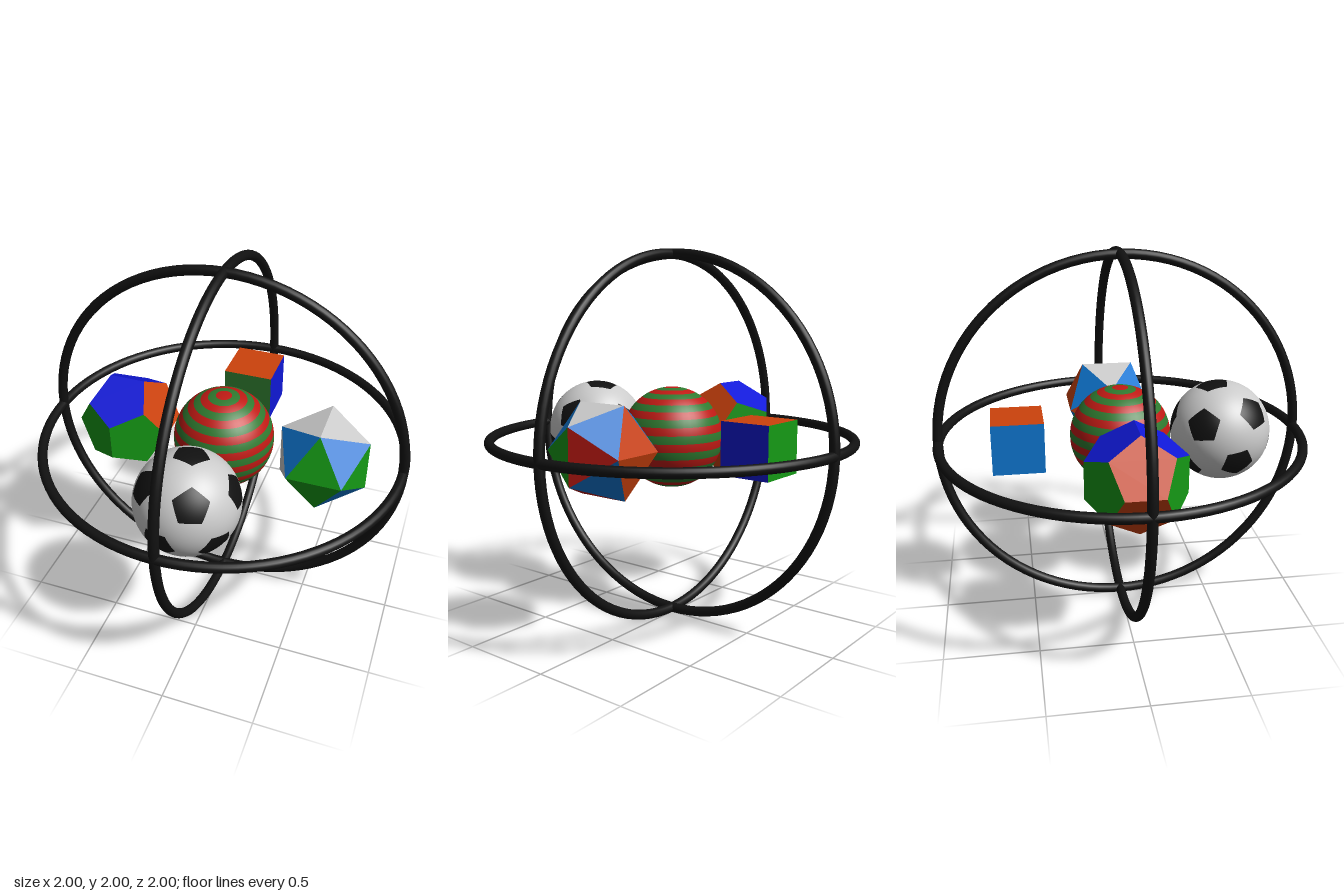
import * as THREE from 'three';
import { mergeGeometries } from 'three/addons/utils/BufferGeometryUtils.js';

const R = 0.273;      // radius shared by the ball, globe and solids
const ORBIT = 0.556;  // distance of the outer solids from the centre
const C = {
  black: 0x111111, grey: 0xcccccc, green: 0x159a15, forest: 0x2f7a2f,
  navy: 0x1018d8, blue: 0x0f78d4, red: 0xc01a14, orange: 0xcc420c,
};

function mesh(geo, color, name) {
  const m = new THREE.Mesh(geo, new THREE.MeshStandardMaterial({ color }));
  m.name = name;
  return m;
}

// Splits a flat-faced geometry into one mesh per colour, chosen by face normal
function colouredSolid(name, source, pick) {
  const geo = source.index ? source.toNonIndexed() : source;
  const pos = geo.attributes.position;
  const buckets = {};
  const tri = new THREE.Triangle(), n = new THREE.Vector3();
  for (let i = 0; i < pos.count; i += 3) {
    tri.setFromAttributeAndIndices(pos, i, i + 1, i + 2);
    tri.getNormal(n);
    const list = (buckets[pick(n)] ??= []);
    for (const p of [tri.a, tri.b, tri.c]) list.push(p.x, p.y, p.z);
  }
  const group = new THREE.Group();
  group.name = name;
  for (const [key, list] of Object.entries(buckets)) {
    const g = new THREE.BufferGeometry();
    g.setAttribute('position', new THREE.Float32BufferAttribute(list, 3));
    g.computeVertexNormals();
    group.add(mesh(g, C[key], `${name} ${key} faces`));
  }
  return group;
}

// Index of the dominant axis of a normal, with its sign
function mainAxis(n) {
  const a = n.toArray();
  const i = a.reduce((best, v, k) => (Math.abs(v) > Math.abs(a[best]) ? k : best), 0);
  return { i, s: Math.sign(a[i]) };
}

// Three crossing hoops
function hoops() {
  const group = new THREE.Group();
  group.name = 'hoops';
  const geo = new THREE.TorusGeometry(0.974, 0.026, 16, 96);
  for (const [name, rx, ry] of [['front hoop', 0, 0], ['side hoop', 0, Math.PI / 2], ['level hoop', Math.PI / 2, 0]]) {
    const m = mesh(geo, C.black, name);
    m.rotation.set(rx, ry, 0);
    group.add(m);
  }
  return group;
}

// Globe with alternating bands of latitude
function stripedGlobe() {
  const group = new THREE.Group();
  group.name = 'striped globe';
  const bands = 20, step = Math.PI / bands;
  ['red', 'forest'].forEach((color, k) => {
    const parts = [];
    for (let i = k; i < bands; i += 2) {
      parts.push(new THREE.SphereGeometry(R, 48, 2, 0, Math.PI * 2, i * step, step));
    }
    group.add(mesh(mergeGeometries(parts), C[color], `${color} stripes`));
  });
  return group;
}

// Ball of 12 pentagons and 20 hexagons, made by trimming icosahedron corners
function football() {
  const group = new THREE.Group();
  group.name = 'football';
  // pole and five-fold rings of pentagon centres
  const pole = new THREE.Vector3(0.04, 0.98, -0.18).normalize();
  const u = new THREE.Vector3(0.37, 0.55, 0.74).projectOnPlane(pole).normalize();
  const v = new THREE.Vector3().crossVectors(pole, u);
  const ring = (side, k) => {
    const a = ((k + (side < 0 ? 0.5 : 0)) * Math.PI * 2) / 5;
    return pole.clone().multiplyScalar(side / Math.sqrt(5))
      .addScaledVector(u, Math.cos(a) * 2 / Math.sqrt(5))
      .addScaledVector(v, Math.sin(a) * 2 / Math.sqrt(5));
  };
  const faces = [];
  for (let k = 0; k < 5; k++) {
    const t0 = ring(1, k), t1 = ring(1, k + 1), b0 = ring(-1, k), b1 = ring(-1, k + 1);
    faces.push([pole, t0, t1], [t0, b0, t1], [t1, b0, b1], [pole.clone().negate(), b1, b0]);
  }
  const dark = [], light = [];
  for (const f of faces) {
    const rim = [];
    f.forEach((p, i) => {
      const next = p.clone().lerp(f[(i + 1) % 3], 1 / 3);
      const prev = p.clone().lerp(f[(i + 2) % 3], 1 / 3);
      dark.push(p, next, prev);
      rim.push(prev, next);
    });
    const mid = f[0].clone().add(f[1]).add(f[2]).divideScalar(3);
    rim.forEach((p, i) => light.push(mid, p, rim[(i + 1) % 6]));
  }
  const patch = (pts) => new THREE.PolyhedronGeometry(
    pts.flatMap((p) => p.toArray()), pts.map((_, i) => i), R, 4);
  group.add(mesh(patch(dark), C.black, 'pentagon panels'));
  group.add(mesh(patch(light), C.grey, 'hexagon panels'));
  return group;
}

export function createModel() {
  const model = new THREE.Group();
  model.name = 'hoops and solids';

  const cube = colouredSolid('cube', new THREE.BoxGeometry(0.277, 0.277, 0.277), (n) => {
    const { i, s } = mainAxis(n);
    return [['blue', 'navy'], ['red', 'orange'], ['green', 'forest']][i][s > 0 ? 1 : 0];
  });

  const dodecahedron = colouredSolid('dodecahedron', new THREE.DodecahedronGeometry(0.276),
    (n) => ['orange', 'navy', 'green'][mainAxis(n).i]);

  const icosaGeo = new THREE.IcosahedronGeometry(0.276).rotateX(Math.PI / 2);
  const icosahedron = colouredSolid('icosahedron', icosaGeo, (n) => {
    const { i, s } = mainAxis(n);
    if (Math.abs(n.getComponent(i)) < 0.7) return 'blue';
    if (i === 1) return s > 0 ? 'grey' : 'red';
    if (i === 2) return s > 0 ? 'green' : 'orange';
    if (s > 0) return n.z > 0 ? 'green' : 'red';
    return n.z > 0 ? 'grey' : 'orange';
  });

  const ball = football();
  ball.position.z = ORBIT;
  cube.position.z = -ORBIT;
  icosahedron.position.x = ORBIT;
  dodecahedron.position.x = -ORBIT;

  model.add(hoops(), stripedGlobe(), ball, cube, icosahedron, dodecahedron);
  for (const part of model.children) part.position.y = 1;
  return model;
}
